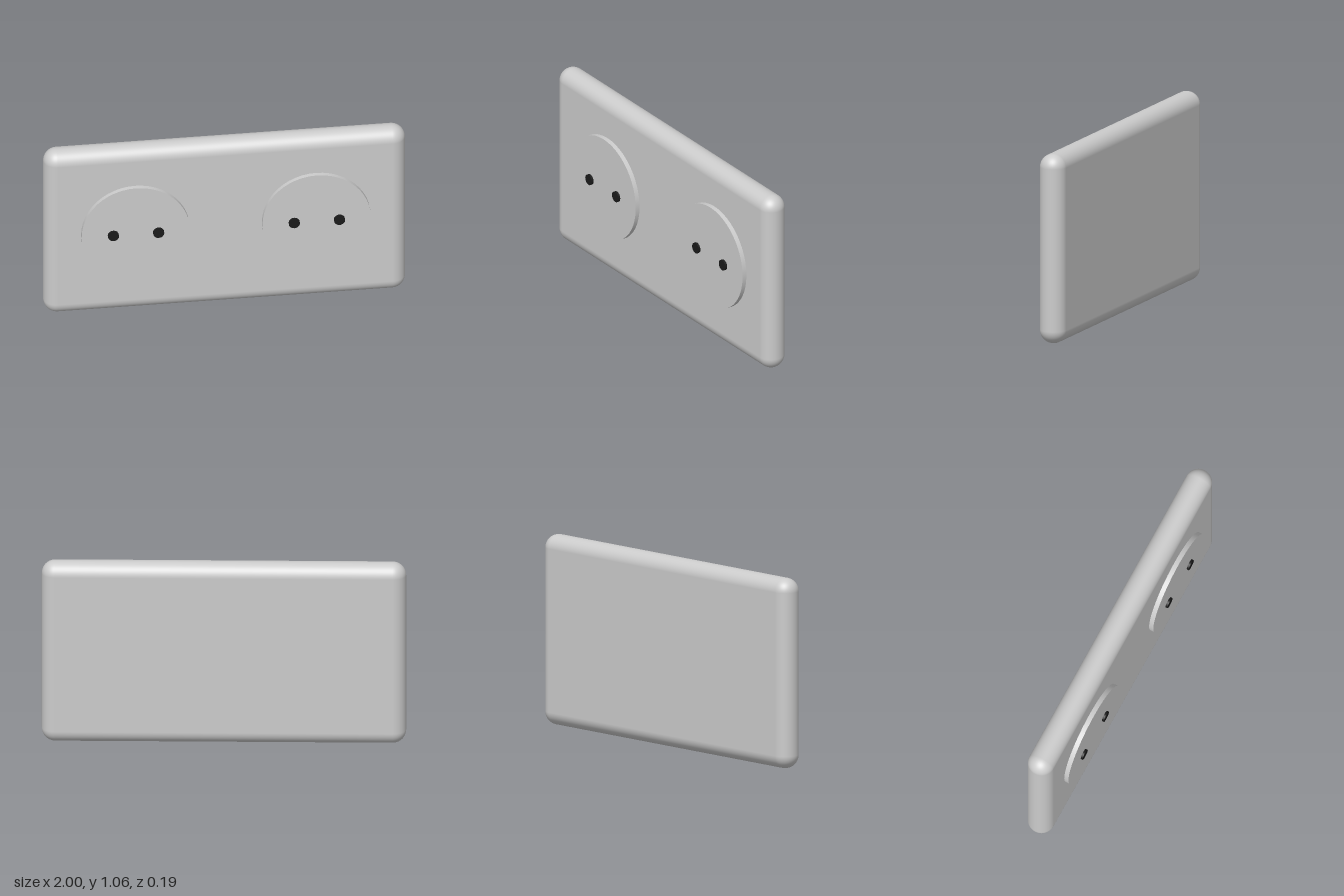
import * as THREE from 'three';
import { RoundedBoxGeometry } from 'three/addons/geometries/RoundedBoxGeometry.js';

const HEIGHT = 1.06;
const MID_Y = HEIGHT / 2;
const PLATE_BACK = -0.094;
const PLATE_FRONT = 0.056;

export function createModel() {
  const model = new THREE.Group();
  model.name = 'doubleWallSocket';
  const grey = new THREE.MeshStandardMaterial({ color: 0xcccccc });
  const black = new THREE.MeshStandardMaterial({ color: 0x1a1a1a });

  // Disc-shaped part facing +z, between two depths
  function disc(name, radius, back, front, sides, material) {
    const geometry = new THREE.CylinderGeometry(radius, radius, front - back, sides);
    geometry.rotateX(Math.PI / 2);
    geometry.translate(0, 0, (front + back) / 2);
    const mesh = new THREE.Mesh(geometry, material);
    mesh.name = name;
    return mesh;
  }

  // Pillow-edged wall plate
  const depth = PLATE_FRONT - PLATE_BACK;
  const plate = new THREE.Mesh(new RoundedBoxGeometry(2, HEIGHT, depth, 6, depth / 2), grey);
  plate.name = 'wallPlate';
  plate.position.set(0, MID_Y, (PLATE_FRONT + PLATE_BACK) / 2);
  model.add(plate);

  // Two round outlets, each with a pair of pin holes
  for (const side of [-1, 1]) {
    const outlet = new THREE.Group();
    outlet.name = side > 0 ? 'leftOutlet' : 'rightOutlet';
    outlet.position.set(side * 0.5, MID_Y, 0);
    outlet.add(disc('outletFace', 0.3, PLATE_FRONT - 0.02, 0.082, 48, grey));
    for (const pin of [-1, 1]) {
      const hole = disc(pin > 0 ? 'leftPinHole' : 'rightPinHole', 0.031, 0.06, 0.094, 16, black);
      hole.position.x = pin * 0.125;
      outlet.add(hole);
    }
    model.add(outlet);
  }
  return model;
}
